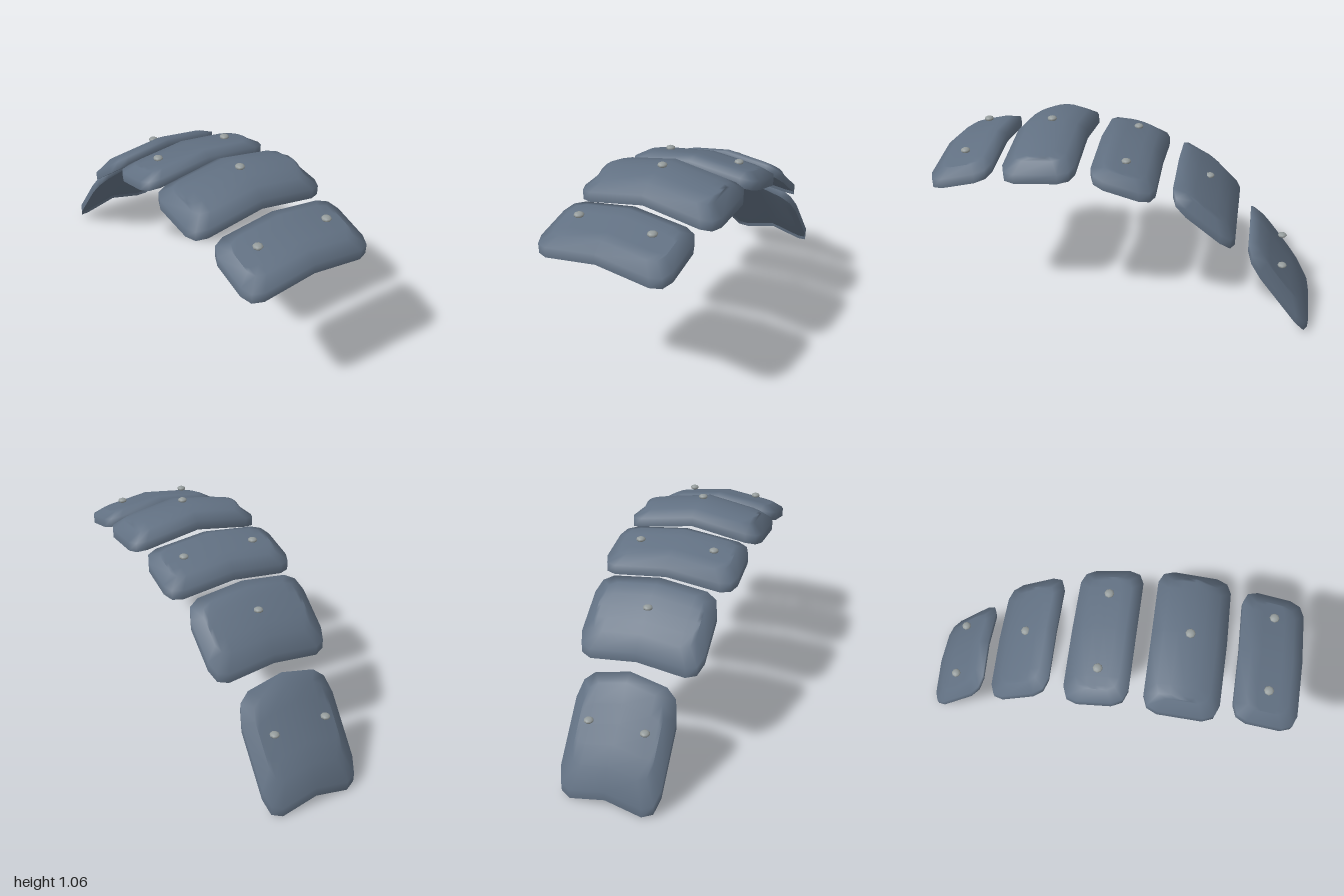
import * as THREE from 'three';
import { mergeVertices } from 'three/addons/utils/BufferGeometryUtils.js';

const CORNER = 0.075, BEVEL = 0.055, THICK = 0.05, LIP = 0.018;

// Per plate: half width, z and ridge height of the front and back rim,
// sideways slope, crown height, extra arch, rivets as x, y, z
const PLATES = [
  { w: 0.345, z0: 1.0, z1: 0.672, y0: 0.86, y1: 0.945, slope: 0.14, crown: 0.027, arch: 0, rivet: [0.193, 0.93, 0.833] },
  { w: 0.375, z0: 0.605, z1: 0.232, y0: 0.97, y1: 1.0, slope: 0.17, crown: 0.038, arch: 0.022, rivet: [0, 1.052, 0.417] },
  { w: 0.36, z0: 0.157, z1: -0.168, y0: 0.97, y1: 0.885, slope: 0.12, crown: 0.029, arch: 0.005, rivet: [0.202, 0.945, -0.007] },
  { w: 0.325, z0: -0.25, z1: -0.575, y0: 0.872, y1: 0.62, slope: 0.13, crown: 0.033, arch: 0.01, rivet: [0, 0.79, -0.415] },
  { w: 0.262, z0: -0.645, z1: -1.0, y0: 0.56, y1: 0.1, slope: 0.25, crown: 0.042, arch: 0.002, rivet: [0.145, 0.365, -0.83] },
];

// Rounded rectangle around the origin, from the front centre towards +x
function outline(hw, hd) {
  const c = CORNER, k = c * (1 - Math.SQRT1_2);
  const corner = [[hw - c, hd], [hw - k, hd - k], [hw, hd - c]];
  const right = [[0, hd], ...corner, ...corner.map(([x, z]) => [x, -z]).reverse()];
  return [...right, [0, -hd], ...right.slice(1).reverse().map(([x, z]) => [-x, z])];
}

// Smooth skin through successive closed rings
function skin(rings) {
  const pos = rings.flat(2), index = [], n = rings[0].length;
  for (let r = 0; r < rings.length - 1; r++) {
    for (let i = 0; i < n; i++) {
      const a = r * n + i, b = r * n + (i + 1) % n;
      index.push(a, b, b + n, a, b + n, a + n);
    }
  }
  let g = new THREE.BufferGeometry();
  g.setAttribute('position', new THREE.Float32BufferAttribute(pos, 3));
  g.setIndex(index);
  g = mergeVertices(g, 1e-5);
  g.computeVertexNormals();
  return g;
}

function buildPlate(p, plateMat, rivetMat, name) {
  const group = new THREE.Group();
  group.name = name;
  const zc = (p.z0 + p.z1) / 2, hd = (p.z0 - p.z1) / 2;
  const base = outline(p.w, hd);
  // Ring pulled in from the edge and lifted off the sloping rim surface
  const ring = (inset, lift, flatten = 1) => base.map(([x, z]) => {
    const px = x * (1 - inset / p.w), pz = z * (1 - inset / hd) * flatten;
    const y = (p.y0 + p.y1) / 2 + (p.y0 - p.y1) * pz / (2 * hd) - p.slope * Math.abs(px);
    return [px, y + lift, zc + pz];
  });
  const add = (part, rings) => {
    const mesh = new THREE.Mesh(skin(rings), plateMat);
    mesh.name = part;
    group.add(mesh);
  };
  const bottom = ring(0, -THICK), lip = ring(0.003, LIP - THICK);

  // Crowned top with its rim wall
  add('plateTop', [bottom, ring(0, 0), ring(BEVEL, p.crown),
    ring(BEVEL, p.crown + p.arch * 0.8, 0.5), ring(BEVEL, p.crown + p.arch, 0)]);
  // Recessed underside and the narrow lip around it
  const under = LIP - THICK - 0.008;
  add('plateUnderside', [ring(BEVEL, under, 0), ring(BEVEL, under), lip]);
  add('plateLip', [lip, bottom]);

  // Flattened rivets, single or as a mirrored pair
  const [rx, ry, rz] = p.rivet;
  for (const x of rx ? [-rx, rx] : [0]) {
    const rivet = new THREE.Mesh(new THREE.SphereGeometry(0.025, 8, 6), rivetMat);
    rivet.name = 'rivet';
    rivet.scale.y = 0.52;
    rivet.position.set(x, ry, rz);
    group.add(rivet);
  }
  return group;
}

export function createModel() {
  const model = new THREE.Group();
  model.name = 'articulatedArmour';
  const plateMat = new THREE.MeshStandardMaterial({ color: 0x627183 });
  plateMat.name = 'blueSteel';
  const rivetMat = new THREE.MeshStandardMaterial({ color: 0x959c9c });
  rivetMat.name = 'paleSteel';
  PLATES.forEach((p, i) => model.add(buildPlate(p, plateMat, rivetMat, `armourPlate${i + 1}`)));
  return model;
}
